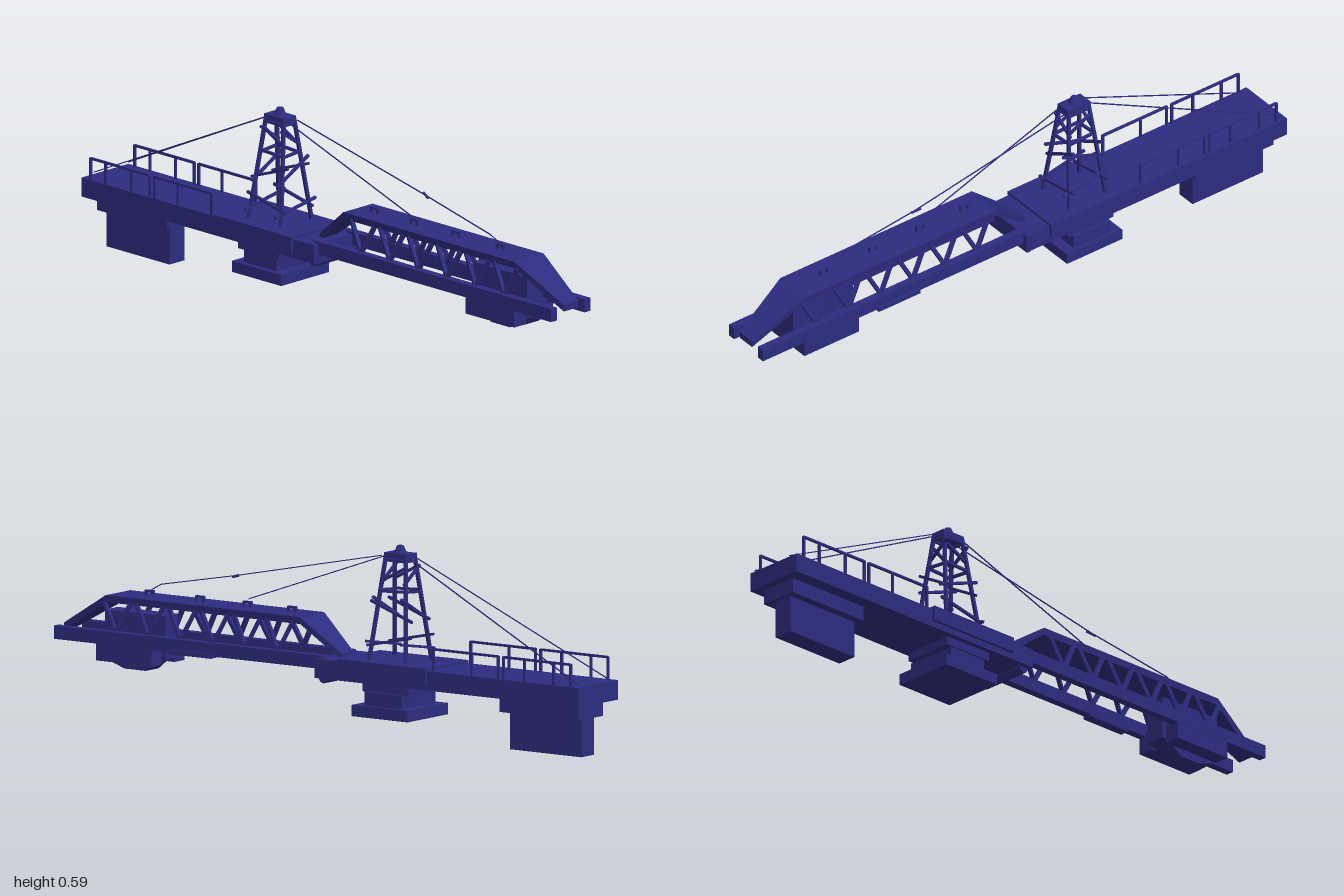
import * as THREE from 'three';

const paint = new THREE.MeshStandardMaterial({ color: 0x2c2c80, flatShading: true });

export function createModel() {
  const root = new THREE.Group();

  const group = (name, parent = root) => {
    const g = new THREE.Group();
    g.name = name;
    parent.add(g);
    return g;
  };
  const add = (name, geometry, parent = root) => {
    const m = new THREE.Mesh(geometry, paint);
    m.name = name;
    parent.add(m);
    return m;
  };
  // box given by its min and max on each axis
  const box = (name, x0, x1, y0, y1, z0, z1, parent) => {
    const m = add(name, new THREE.BoxGeometry(x1 - x0, y1 - y0, z1 - z0), parent);
    m.position.set((x0 + x1) / 2, (y0 + y1) / 2, (z0 + z1) / 2);
    return m;
  };
  // square bar between two points
  const bar = (name, a, b, t, parent) => {
    const p = new THREE.Vector3(...a), q = new THREE.Vector3(...b);
    const d = q.clone().sub(p);
    const m = add(name, new THREE.BoxGeometry(t, d.length(), t), parent);
    m.position.copy(p).add(q).multiplyScalar(0.5);
    m.quaternion.setFromUnitVectors(new THREE.Vector3(0, 1, 0), d.normalize());
    return m;
  };
  // plate lofted along x through [x, top, halfWidth, thickness] sections
  const loft = (name, sections, parent) => {
    const rings = sections.map(([x, y, w, t]) =>
      [[x, y, w], [x, y, -w], [x, y - t, -w * 0.95], [x, y - t, w * 0.95]]);
    const pos = [];
    const quad = (a, b, c, d) => pos.push(...a, ...b, ...c, ...a, ...c, ...d);
    for (let i = 0; i + 1 < rings.length; i++) {
      const r = rings[i], s = rings[i + 1];
      for (let k = 0; k < 4; k++) quad(r[k], s[k], s[(k + 1) % 4], r[(k + 1) % 4]);
    }
    const e = rings[rings.length - 1];
    quad(...rings[0]);
    quad(e[0], e[3], e[2], e[1]);
    const g = new THREE.BufferGeometry();
    g.setAttribute('position', new THREE.Float32BufferAttribute(pos, 3));
    g.computeVertexNormals();
    return add(name, g, parent);
  };

  // rear deck, central platform and counterweight
  box('counterJibDeck', -1, 0, 0.165, 0.225, -0.1, 0.103);
  box('centralPlatform', -0.425, -0.09, 0.185, 0.233, -0.107, 0.112);
  box('counterweightHanger', -0.975, -0.675, 0.118, 0.166, -0.066, 0.06);
  box('counterweight', -0.96, -0.69, 0, 0.119, -0.031, 0.034);

  // stepped slewing base
  const slew = group('slewingBase');
  box('slewingCollar', -0.345, -0.17, 0.138, 0.166, -0.085, 0.085, slew);
  box('slewingRing', -0.325, -0.185, 0.095, 0.139, -0.095, 0.08, slew);
  box('slewingFoot', -0.36, -0.148, 0.062, 0.097, -0.11, 0.097, slew);

  // hand rails, two panels on each side
  const rails = group('handRails');
  const panels = [[-0.965, -0.9, -0.79, -0.71], [-0.69, -0.59, -0.445]];
  for (const z of [-0.092, 0.098]) {
    for (const posts of panels) {
      for (const x of posts) bar('railPost', [x, 0.22, z], [x, 0.295, z], 0.007, rails);
      bar('handRail', [posts[0], 0.293, z], [posts[posts.length - 1], 0.293, z], 0.007, rails);
    }
  }

  // tapered lattice tower
  const tower = group('tower');
  const cx = -0.255, cz = -0.006;
  const halfX = y => 0.07 - (y - 0.23) * 0.1;
  const halfZ = y => 0.066 - (y - 0.23) * 0.135;
  for (const sx of [-1, 1]) for (const sz of [-1, 1]) {
    bar('towerLeg', [cx + sx * halfX(0.23), 0.23, cz + sz * halfZ(0.23)],
      [cx + sx * halfX(0.555), 0.555, cz + sz * halfZ(0.555)], 0.01, tower);
  }
  // tilted braces: height, rise towards the end, overhang past the legs
  const bracesX = [[0.295, -0.035, 0.02], [0.387, 0.055, 0.024], [0.447, -0.004, 0.0], [0.5, -0.045, 0.0], [0.54, 0, 0]];
  const bracesZ = [[0.28, 0.03, 0.028], [0.393, 0.075, 0.024], [0.446, 0.006, 0.0], [0.497, -0.055, 0.01], [0.54, 0, 0]];
  for (const s of [-1, 1]) {
    for (const [y, r, o] of bracesX) {
      const w = halfX(y) + o, z = cz + s * halfZ(y);
      bar('towerBrace', [cx - w, y - r / 2, z], [cx + w, y + r / 2, z], 0.008, tower);
    }
    for (const [y, r, o] of bracesZ) {
      const w = halfZ(y) + o, x = cx + s * halfX(y);
      bar('towerBrace', [x, y + r / 2, cz - w], [x, y - r / 2, cz + w], 0.008, tower);
    }
  }
  box('towerHead', cx - 0.043, cx + 0.043, 0.546, 0.563, cz - 0.026, cz + 0.026, tower);
  const cap = add('towerCap', new THREE.CylinderGeometry(0.01, 0.02, 0.023, 8), tower);
  cap.position.set(cx, 0.574, cz);

  // hinge between deck and jib
  const pin = add('jibHinge', new THREE.CylinderGeometry(0.018, 0.018, 0.17, 10));
  pin.rotation.x = Math.PI / 2;
  pin.position.set(-0.022, 0.166, 0);

  // jib: bottom rails, bent top plate and side lattice
  const jib = group('jib');
  for (const s of [-1, 1]) {
    box('jibRail', -0.02, 1, 0.192, 0.233, s * 0.072 - 0.013, s * 0.072 + 0.013, jib);
    for (let i = 0; i < 6; i++) {
      const x = 0.165 + i * 0.123;
      bar('jibLattice', [x - 0.05, 0.322, s * 0.057], [x, 0.228, s * 0.066], 0.012, jib);
      bar('jibLattice', [x, 0.228, s * 0.066], [x + 0.05, 0.322, s * 0.057], 0.012, jib);
    }
  }
  box('railPlate', 0.4, 0.56, 0.186, 0.2, -0.092, -0.06, jib);
  loft('jibTopPlate', [
    [-0.05, 0.236, 0.03, 0.022], [0.085, 0.34, 0.063, 0.022],
    [0.82, 0.34, 0.063, 0.022], [1, 0.236, 0.032, 0.022],
  ], jib);

  // cable lugs along the jib
  for (const x of [0.16, 0.33, 0.51, 0.7]) {
    const lug = group('cableLug', jib);
    for (const s of [-1, 1]) box('lugLeg', x + s * 0.013 - 0.003, x + s * 0.013 + 0.003, 0.338, 0.358, -0.003, 0.007, lug);
    box('lugTop', x - 0.016, x + 0.016, 0.353, 0.359, -0.003, 0.007, lug);
  }

  // trolley hanging in the jib
  const trolley = group('trolley');
  const outline = [[0.615, 0.29], [0.615, 0.155], [0.66, 0.14], [0.69, 0.115],
    [0.77, 0.115], [0.83, 0.135], [0.845, 0.16], [0.845, 0.29]];
  const shape = new THREE.Shape(outline.map(p => new THREE.Vector2(...p)));
  add('trolleyBody', new THREE.ExtrudeGeometry(shape, { depth: 0.066, bevelEnabled: false }), trolley)
    .position.z = -0.033;
  for (const s of [-1, 1]) {
    box('trolleyCarriage', 0.63, 0.84, 0.14, 0.2, s * 0.058 - 0.026, s * 0.058 + 0.026, trolley);
  }

  // stay cables from the tower head
  const cables = group('stayCables');
  const cable = points => {
    for (let i = 0; i + 1 < points.length; i++) bar('stayCable', points[i], points[i + 1], 0.003, cables);
  };
  cable([[-0.29, 0.555, -0.02], [-0.99, 0.235, -0.09]]);
  cable([[-0.29, 0.555, 0.01], [-0.99, 0.235, 0.06]]);
  cable([[-0.2, 0.55, 0.01], [0.33, 0.365, 0.008]]);
  cable([[-0.2, 0.552, -0.026], [0.36, 0.437, -0.015], [0.66, 0.38, 0.005], [0.7, 0.357, 0.002]]);
  bar('cableShackle', [0.345, 0.44, -0.022], [0.375, 0.431, -0.012], 0.006, cables);
  return root;
}
